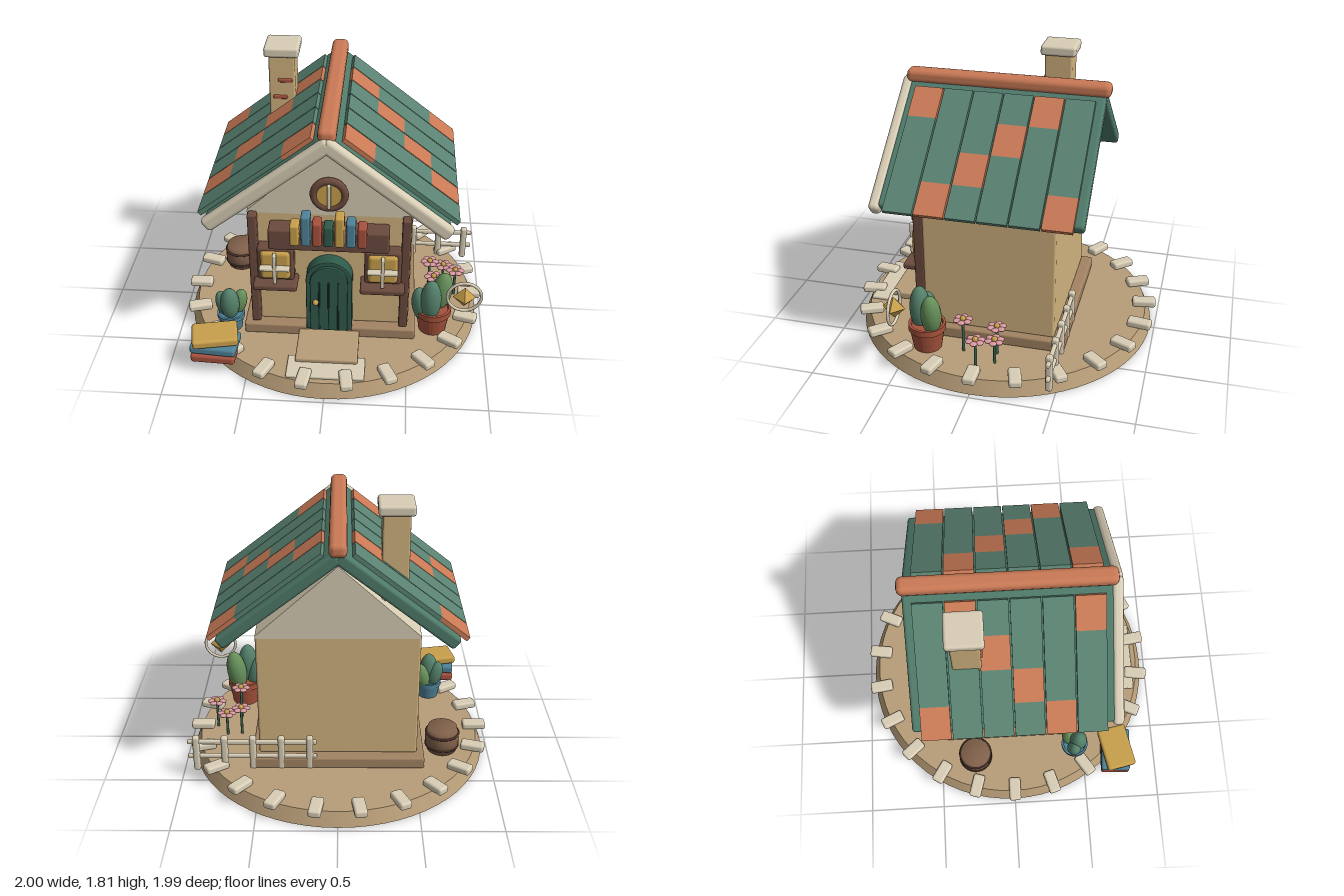
import * as THREE from 'three';
import { RoundedBoxGeometry } from 'three/addons/geometries/RoundedBoxGeometry.js';

const C = {
  earth: 0xb89d78, plinth: 0xa38463, wall: 0xd0b27e, gable: 0xd6cbb2, cream: 0xd9ceb6,
  brown: 0x6b4a3d, dark: 0x4a342b, roof: 0x4f7a6a, tile: 0x5a8272, orange: 0xca7a56,
  door: 0x2f5a4a, groove: 0x1f3f35, gold: 0xc9a04c, blue: 0x4f8399, red: 0xa8523f,
  terracotta: 0xa5523b, leaf: 0x54806a, leaf2: 0x66905a, stem: 0x3d6650, pink: 0xd99aa0, wood: 0x80604a,
};

export function createModel() {
  const root = new THREE.Group();
  const mats = {};
  const mat = (c) => (mats[c] ??= new THREE.MeshStandardMaterial({ color: C[c] }));

  function add(name, geo, color, x = 0, y = 0, z = 0, parent = root) {
    const m = new THREE.Mesh(geo, mat(color));
    m.name = name;
    m.position.set(x, y, z);
    parent.add(m);
    return m;
  }
  // softened box, centred on x, y, z
  function box(name, w, h, d, color, x, y, z, parent = root, r = 0.012) {
    return add(name, new RoundedBoxGeometry(w, h, d, 2, Math.min(r, w * 0.4, h * 0.4, d * 0.4)), color, x, y, z, parent);
  }
  const cyl = (rt, rb, h, n = 24) => new THREE.CylinderGeometry(rt, rb, h, n);
  function group(name, x = 0, y = 0, z = 0) {
    const g = new THREE.Group();
    g.name = name;
    g.position.set(x, y, z);
    root.add(g);
    return g;
  }

  // ground disc with a ring of edging stones
  add('groundDisc', cyl(0.93, 0.97, 0.09, 64), 'earth', 0, 0.045, 0);
  for (let i = 0; i < 22; i++) {
    const a = (i / 22) * Math.PI * 2;
    box('edgingStone', 0.155, 0.05, 0.08, 'cream', Math.cos(a) * 0.922, 0.109, Math.sin(a) * 0.922, root, 0.016).rotation.y = -a;
  }

  // plinth, steps, walls and gable
  box('plinth', 1.1, 0.08, 0.98, 'plinth', 0, 0.125, 0, root, 0.015);
  box('upperStep', 0.39, 0.05, 0.31, 'earth', 0, 0.112, 0.615);
  box('lowerStep', 0.485, 0.025, 0.19, 'cream', 0, 0.098, 0.8);
  box('walls', 1.01, 0.84, 0.84, 'wall', 0, 0.58, 0, root, 0.015);
  const tri = new THREE.Shape([[-0.505, 0.985], [0.505, 0.985], [0.505, 1], [0, 1.46], [-0.505, 1]].map((p) => new THREE.Vector2(...p)));
  add('gable', new THREE.ExtrudeGeometry(tri, { depth: 0.84, bevelEnabled: false }), 'gable', 0, 0, -0.42);

  // roof slopes with tile strips and barge boards
  const pitch = Math.atan2(0.55, 0.7), rows = [0, 3, 2, 1, 0, 3];
  for (const s of [-1, 1]) {
    const slope = group(s > 0 ? 'leftRoofSlope' : 'rightRoofSlope', 0, 1.592, 0);
    slope.rotation.z = -s * pitch;
    box('roofSlab', 0.89, 0.08, 1.23, 'roof', s * 0.445, 0, 0, slope, 0.02);
    box('bargeBoard', 0.94, 0.092, 0.07, 'cream', s * 0.445, 0, 0.635, slope, 0.03);
    rows.forEach((row, k) => {
      const z = 0.475 - k * 0.189;
      for (let i = 0; i < 4; i++) {
        add('roofTile', new THREE.BoxGeometry(0.215, 0.03, 0.18), i === row ? 'orange' : 'tile',
          s * (0.072 + (i + 0.5) * 0.215), 0.052, z, slope);
      }
    });
  }
  box('ridgeCap', 0.107, 0.09, 1.285, 'orange', 0, 1.64, 0, root, 0.035);

  // chimney
  box('chimneyStack', 0.165, 0.56, 0.175, 'wall', -0.34, 1.48, -0.262);
  box('chimneyCap', 0.218, 0.065, 0.225, 'cream', -0.34, 1.778, -0.262, root, 0.018);
  box('chimneyBrick', 0.09, 0.026, 0.02, 'red', -0.32, 1.587, -0.175);
  box('chimneyBrick', 0.09, 0.026, 0.02, 'red', -0.352, 1.472, -0.175);

  // corner posts and windows
  for (const s of [-1, 1]) {
    box('cornerPost', 0.056, 0.82, 0.065, 'brown', s * 0.47, 0.59, 0.45);
    const w = group('window', s * 0.332, 0.655, 0);
    box('windowFrame', 0.23, 0.245, 0.09, 'brown', 0, 0, 0.455, w, 0.02);
    box('windowPane', 0.185, 0.205, 0.06, 'gold', 0, 0, 0.492, w, 0.025);
    box('windowBar', 0.023, 0.215, 0.045, 'cream', 0, 0, 0.54, w, 0.008);
    box('windowBar', 0.19, 0.023, 0.045, 'cream', 0, 0, 0.54, w, 0.008);
    box('windowSill', 0.275, 0.042, 0.15, 'brown', 0, -0.135, 0.495, w, 0.014);
  }

  // round gable window
  const round = group('roundWindow', 0, 1.152, 0.45);
  add('roundFrame', new THREE.TorusGeometry(0.093, 0.024, 12, 40), 'brown', 0, 0, 0, round);
  add('roundPane', cyl(0.085, 0.085, 0.05, 32), 'gold', 0, 0, -0.01, round).rotation.x = Math.PI / 2;
  box('roundBar', 0.022, 0.165, 0.03, 'cream', 0, 0, 0.025, round, 0.008);

  // shelf over the door with a row of books
  box('bookShelf', 0.735, 0.148, 0.12, 'brown', 0, 0.868, 0.48, root, 0.015);
  [['gold', 0.145], ['blue', 0.21], ['red', 0.165], ['door', 0.145], ['gold', 0.21], ['blue', 0.175], ['red', 0.145]].forEach(([c, h], i) => {
    box('shelfBook', 0.056, h, 0.095, c, -0.2 + i * 0.0675, 0.87 + h / 2, 0.552, root, 0.014);
  });

  // arched door
  function arch(r, y0, y1) {
    const sh = new THREE.Shape();
    sh.moveTo(-r, y0);
    sh.lineTo(r, y0);
    sh.lineTo(r, y1);
    sh.absarc(0, y1, r, 0, Math.PI);
    sh.lineTo(-r, y0);
    return sh;
  }
  const extrude = (sh, depth) => new THREE.ExtrudeGeometry(sh, { depth, curveSegments: 20, bevelThickness: 0.008, bevelSize: 0.006, bevelSegments: 2 });
  add('doorSurround', extrude(arch(0.139, 0.165, 0.545), 0.08), 'door', 0, 0, 0.42);
  add('doorLeaf', extrude(arch(0.112, 0.172, 0.545), 0.02), 'door', 0, 0, 0.5);
  for (const x of [-0.06, 0, 0.06]) box('doorGroove', 0.011, 0.37, 0.012, 'groove', x, 0.365, 0.53, root, 0.003);
  add('doorKnob', new THREE.SphereGeometry(0.019, 16, 12), 'gold', -0.082, 0.4, 0.54);

  // potted plants: leaves are [x, y, z, width, height, tilt]
  function plant(name, x, z, r, h, color, leaves) {
    const g = group(name, x, 0.09, z);
    const profile = [[0, 0], [r * 0.75, 0], [r * 0.93, h * 0.76], [r, h * 0.76], [r, h], [r * 0.85, h], [r * 0.82, h * 0.9], [0, h * 0.9]];
    const pts = profile.map((p) => new THREE.Vector2(...p));
    const pot = add('pot', new THREE.LatheGeometry(pts, 28).toNonIndexed(), color, 0, 0, 0, g);
    pot.geometry.computeVertexNormals();
    leaves.forEach(([lx, ly, lz, lw, lh, tilt], i) => {
      const leaf = add('leaf', new THREE.SphereGeometry(1, 18, 14), i % 2 ? 'leaf2' : 'leaf', lx, ly, lz, g);
      leaf.scale.set(lw, lh, lw * 0.95);
      leaf.rotation.z = tilt;
    });
  }
  plant('largePlant', 0.665, 0.355, 0.117, 0.172, 'terracotta',
    [[-0.02, 0.26, 0.05, 0.068, 0.15, 0], [0.05, 0.26, -0.045, 0.068, 0.145, -0.15], [-0.08, 0.2, 0.02, 0.06, 0.13, 0.15]]);
  plant('smallPlant', -0.645, 0.43, 0.09, 0.12, 'blue',
    [[0, 0.2, 0.02, 0.062, 0.115, 0], [0.05, 0.17, -0.04, 0.05, 0.1, -0.25], [-0.045, 0.17, -0.01, 0.05, 0.1, 0.25]]);

  // stacked books
  [['red', 0.28, 0.12, -0.05, -0.705], ['blue', 0.29, 0.185, -0.08, -0.7], ['gold', 0.285, 0.249, 0.2, -0.7]].forEach(([c, w, y, turn, x]) => {
    box('stackedBook', w, 0.058, 0.195, c, x, y, 0.71, root, 0.018).rotation.y = turn;
  });

  // ring ornament with a gold crystal
  add('ornamentRing', new THREE.TorusGeometry(0.105, 0.01, 10, 48), 'cream', 0.845, 0.462, 0.497);
  add('ornamentCrystal', new THREE.OctahedronGeometry(0.072), 'gold', 0.845, 0.462, 0.497);

  // flowers
  for (const [x, z, y] of [[0.67, 0.12, 0.32], [0.82, 0, 0.288], [0.745, -0.1, 0.255], [0.65, -0.09, 0.288]]) {
    const f = group('flower', x, 0, z);
    add('stem', cyl(0.009, 0.009, y - 0.08, 8), 'stem', 0, (y + 0.08) / 2, 0, f);
    add('flowerHeart', new THREE.SphereGeometry(0.019, 12, 8), 'gold', 0, y + 0.008, 0, f);
    for (let i = 0; i < 6; i++) {
      const a = (i / 6) * Math.PI * 2;
      add('petal', new THREE.SphereGeometry(0.024, 10, 8), 'pink', Math.cos(a) * 0.039, y, Math.sin(a) * 0.039, f).scale.y = 0.42;
    }
  }

  // picket fence
  const fence = group('fence', 0, 0, -0.47);
  for (let i = 0; i < 5; i++) box('fencePost', 0.044, 0.25, 0.044, 'cream', 0.18 + i * 0.18, 0.193, 0, fence, 0.016);
  for (const y of [0.17, 0.275]) box('fenceRail', 0.82, 0.03, 0.026, 'cream', 0.545, y, 0, fence, 0.01);

  // barrel with dark hoops
  const barrel = group('barrel', -0.68, 0.09, -0.26);
  const staves = [[0, 0], [0.095, 0], [0.108, 0.05], [0.111, 0.085], [0.108, 0.12], [0.095, 0.17], [0, 0.17]];
  add('barrelBody', new THREE.LatheGeometry(staves.map((p) => new THREE.Vector2(...p)), 28), 'wood', 0, 0, 0, barrel);
  for (const y of [0.04, 0.13]) add('barrelHoop', new THREE.TorusGeometry(0.105, 0.008, 8, 32), 'dark', 0, y, 0, barrel).rotation.x = Math.PI / 2;

  return root;
}
